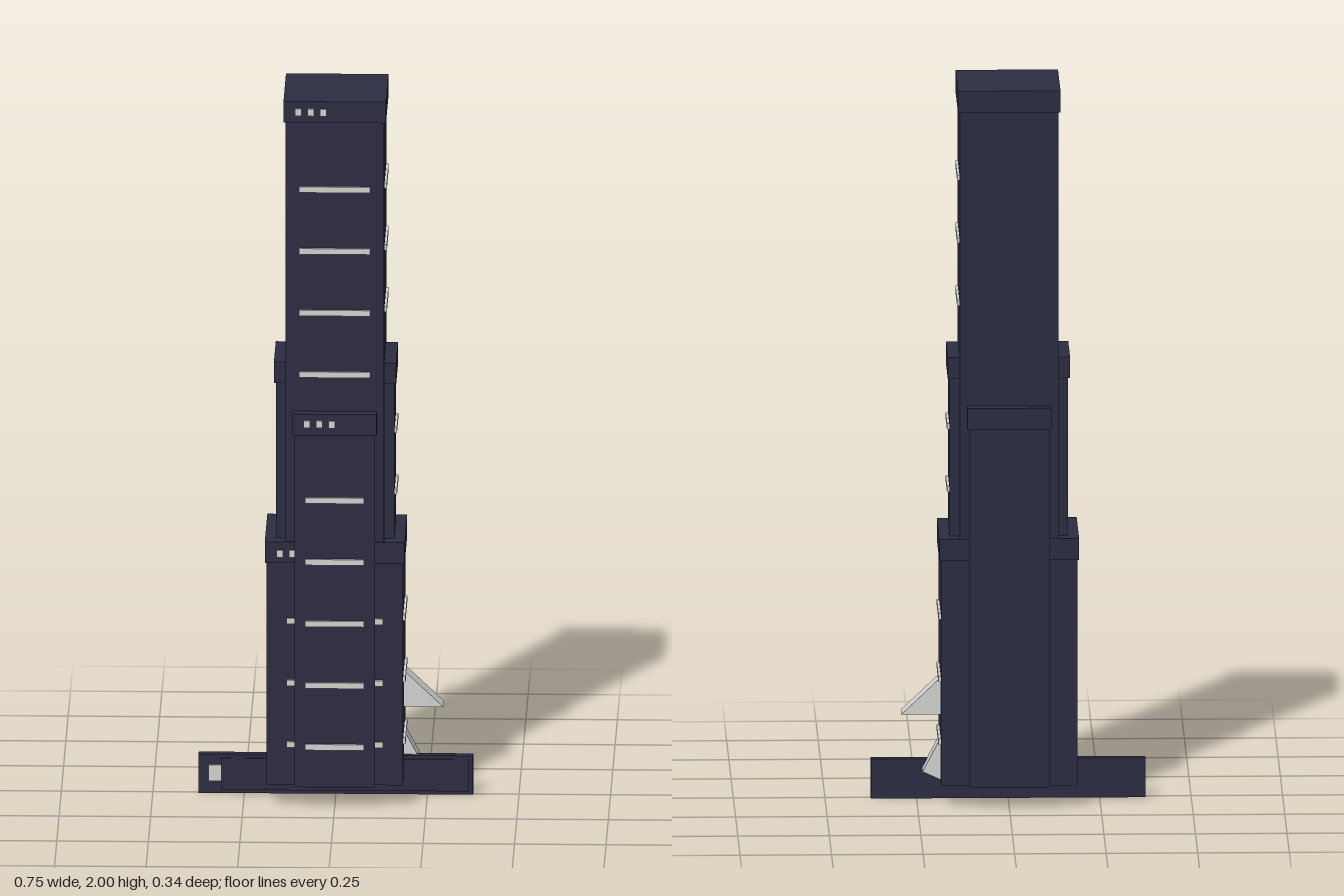
import * as THREE from 'three';

export function createModel() {
  const model = new THREE.Group();
  model.name = 'skyscraper';
  const dark = new THREE.MeshStandardMaterial({ color: 0x2d2d44 });
  dark.name = 'dark slate';
  const light = new THREE.MeshStandardMaterial({ color: 0xd6d6d4 });
  light.name = 'pale grey';

  const ZC = -0.004; // depth centre of the tower

  // Box from its min and max corners
  function box(name, mat, x0, x1, y0, y1, z0, z1, parent = model) {
    const m = new THREE.Mesh(new THREE.BoxGeometry(x1 - x0, y1 - y0, z1 - z0), mat);
    m.position.set((x0 + x1) / 2, (y0 + y1) / 2, (z0 + z1) / 2);
    m.name = name;
    parent.add(m);
    return m;
  }

  // Block with a slightly wider parapet band on top; hx and hz are the parapet's half sizes
  function block(name, hx, hz, y0, y1) {
    const g = new THREE.Group();
    g.name = name;
    const lip = 0.005, band = 0.06;
    box(name + 'Body', dark, -hx + lip, hx - lip, y0, y1 - band, ZC - hz + lip, ZC + hz - lip, g);
    box(name + 'Parapet', dark, -hx, hx, y1 - band, y1, ZC - hz, ZC + hz, g);
    model.add(g);
  }

  block('lowerBlock', 0.191, 0.1405, 0.06, 0.75);
  block('frontBackSlab', 0.115, 0.166, 0.06, 1.12);
  block('sideSlab', 0.167, 0.104, 0.75, 1.25);
  block('mainTower', 0.14, 0.1405, 0.75, 2.0);

  // Window strips on every storey, on the front (+z) and left (+x) faces
  const storey = 0.175, t = 0.008;
  function frontStrips(face, half, from, to) {
    for (let i = from; i <= to; i++)
      box('frontWindowStrip', light, -half, half, i * storey - t, i * storey + t, face - 0.001, face + 0.0065);
  }
  function sideStrips(face, half, from, to) {
    for (let i = from; i <= to; i++)
      box('sideWindowStrip', light, face - 0.001, face + 0.0065, i * storey - t, i * storey + t, ZC - half, ZC + half);
  }
  frontStrips(0.1315, 0.097, 7, 10);
  frontStrips(0.1315, 0.132, 1, 3);
  frontStrips(0.157, 0.08, 1, 5);
  sideStrips(0.135, 0.097, 8, 10);
  sideStrips(0.162, 0.072, 5, 6);
  sideStrips(0.186, 0.097, 1, 3);

  // Three small square lamps on each front parapet
  function lamps(x, y, face, count) {
    for (let i = 0; i < count; i++) {
      const cx = x + i * 0.0345;
      box('parapetLamp', light, cx - 0.009, cx + 0.009, y - 0.01, y + 0.01, face - 0.001, face + 0.005);
    }
  }
  lamps(-0.1, 1.97, 0.1365, 3);
  lamps(-0.076, 1.092, 0.162, 3);
  lamps(-0.15, 0.717, 0.1365, 2);

  // Long thin base wall with a raised front panel and a pale plaque
  box('baseWall', dark, -0.375, 0.375, 0, 0.11, -0.017, 0.008);
  box('baseWallPanel', dark, -0.314, 0.363, 0.01, 0.1, 0.007, 0.012);
  box('baseWallPlaque', light, -0.348, -0.314, 0.035, 0.08, 0.007, 0.012);

  // Wedge awnings on the left side
  function wedge(name, points) {
    const shape = new THREE.Shape(points.map(([x, y]) => new THREE.Vector2(x, y)));
    const m = new THREE.Mesh(new THREE.ExtrudeGeometry(shape, { depth: 0.064, bevelEnabled: false }), light);
    m.position.z = -0.068;
    m.name = name;
    model.add(m);
  }
  wedge('upperAwning', [[0.18, 0.245], [0.293, 0.245], [0.18, 0.353]]);
  wedge('lowerAwning', [[0.18, 0.06], [0.235, 0.085], [0.18, 0.19]]);

  return model;
}
